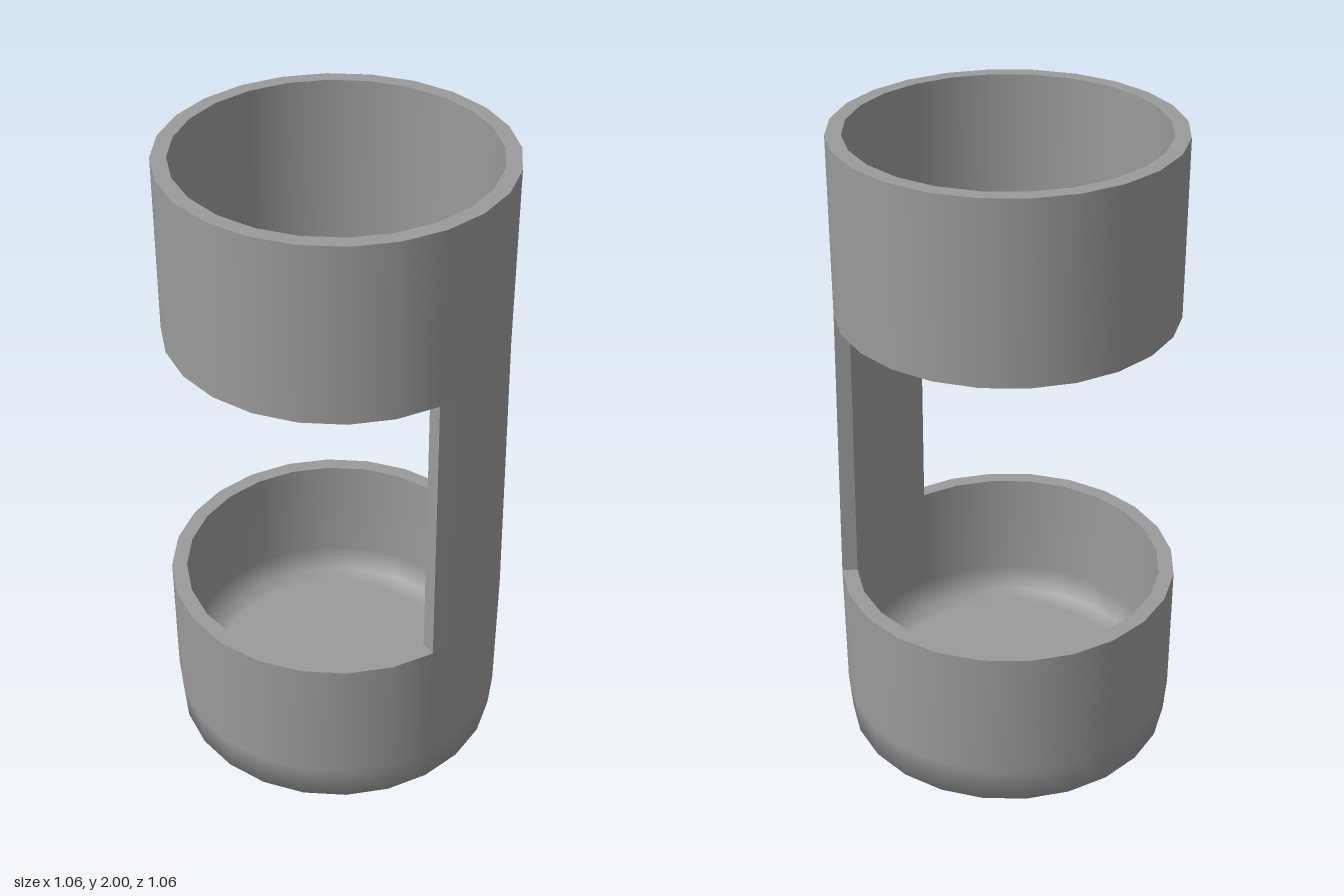
import * as THREE from 'three';

const SEG = Math.PI / 12; // 24-sided round body
const material = new THREE.MeshStandardMaterial({ color: 0x9b9b9b, side: THREE.DoubleSide });

// Lathed strip over a range of sides; the strut sits on sides 4 to 8, around +x
function strip(name, points, start = 0, count = 24) {
  const profile = points.map(([r, y]) => new THREE.Vector2(r, y));
  const mesh = new THREE.Mesh(new THREE.LatheGeometry(profile, count, start * SEG, count * SEG), material);
  mesh.name = name;
  return mesh;
}

function part(name, ...meshes) {
  const group = new THREE.Group();
  group.name = name;
  group.add(...meshes);
  return group;
}

export function createModel() {
  const low = 0.545, high = 1.452, top = 2, floor = 0.095;
  const outLow = 0.531, outHigh = 0.513, outTop = 0.511;
  const inLow = 0.483, inHigh = 0.467, inTop = 0.465;

  // Bottom cup with a softened foot and floor; its rim stops where the strut rises
  const cup = part('cup',
    strip('cupOuter', [[0, 0], [0.45, 0], [0.52, 0], [0.53, 0.12], [outLow, low]]),
    strip('cupRim', [[outLow, low], [inLow, low]], 8, 20),
    strip('cupInner', [[inLow, low], [inLow, 0.19], [0.473, floor], [0.4, floor], [0, floor]]));

  // Open upper collar
  const collar = part('collar',
    strip('collarOuter', [[outHigh, high], [outTop, top]]),
    strip('collarRim', [[outTop, top], [inTop, top]]),
    strip('collarInner', [[inTop, top], [inHigh, high]]),
    strip('collarUnderside', [[inHigh, high], [outHigh, high]], 8, 20));

  // Curved strut joining cup and collar
  const strut = part('strut',
    strip('strutOuter', [[outLow, low], [outHigh, high]], 4, 4),
    strip('strutInner', [[inHigh, high], [inLow, low]], 4, 4));

  // Flat side edges of the strut
  for (const side of [4, 8]) {
    const s = Math.sin(side * SEG), c = Math.cos(side * SEG);
    const corners = [[inLow, low], [outLow, low], [outHigh, high], [inHigh, high]];
    const geometry = new THREE.BufferGeometry();
    geometry.setAttribute('position', new THREE.Float32BufferAttribute(
      corners.flatMap(([r, y]) => [r * s, y, r * c]), 3));
    geometry.setIndex(side === 4 ? [0, 1, 2, 0, 2, 3] : [0, 2, 1, 0, 3, 2]);
    geometry.computeVertexNormals();
    const edge = new THREE.Mesh(geometry, material);
    edge.name = side === 4 ? 'strutFrontEdge' : 'strutBackEdge';
    strut.add(edge);
  }

  return part('openHolder', cup, collar, strut);
}
